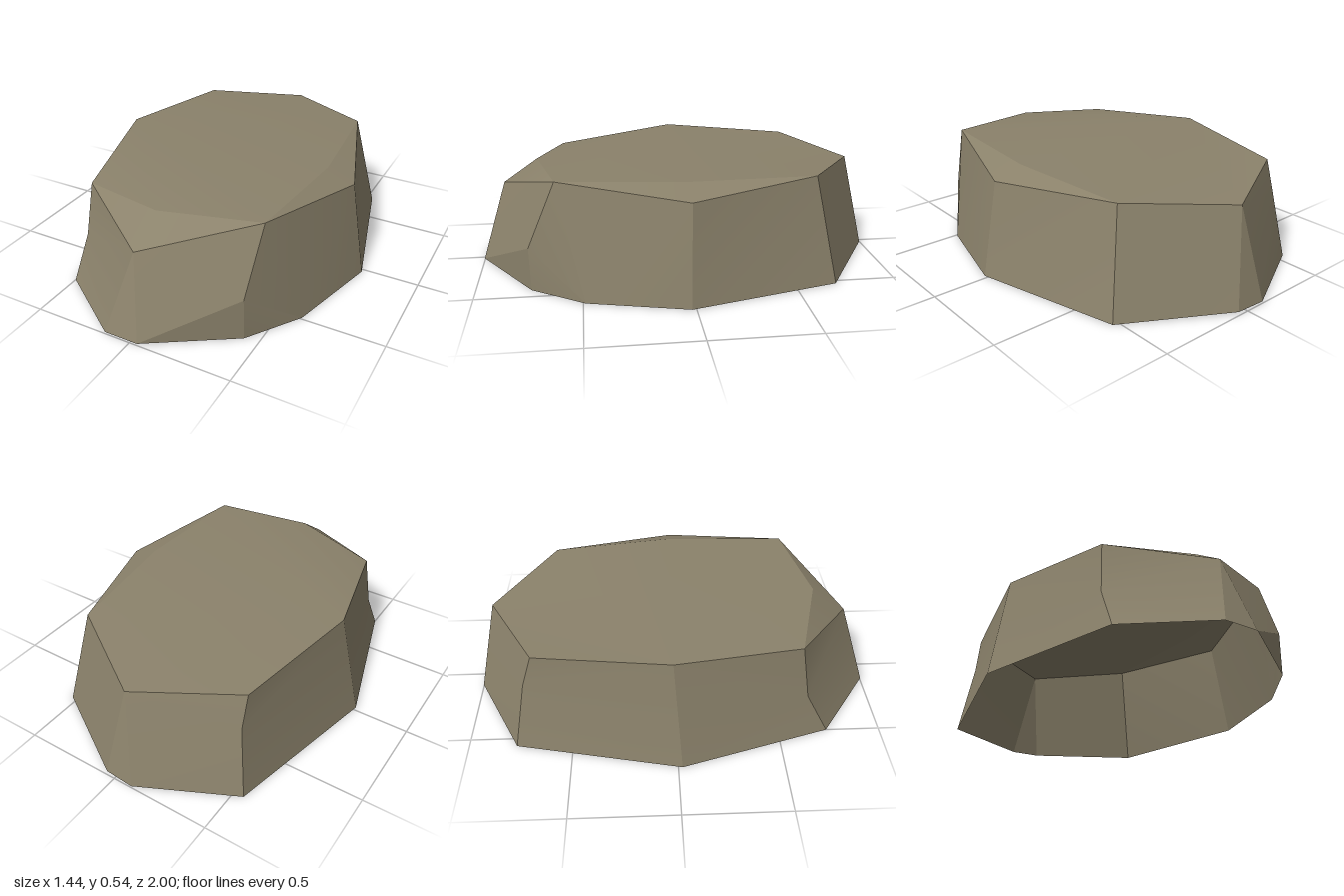
import * as THREE from 'three';
import { toCreasedNormals } from 'three/addons/utils/BufferGeometryUtils.js';

// base rim, clockwise from the back when seen from above
const base = [
  [-0.10, 0.01, -1.0], [0.05, 0.01, -0.99], [0.53, 0, -0.70], [0.72, 0, 0.02],
  [0.60, 0, 0.49], [0.43, 0, 0.74], [0.04, 0.01, 1.0], [-0.13, 0.01, 1.0],
  [-0.50, 0, 0.74], [-0.72, 0, 0.02], [-0.55, 0, -0.77],
];
// top rim, same order
const top = [
  [-0.03, 0.47, -0.90], [0.43, 0.51, -0.61], [0.64, 0.472, 0.01], [0.46, 0.535, 0.61],
  [-0.02, 0.515, 0.71], [-0.46, 0.48, 0.59], [-0.62, 0.535, -0.02], [-0.50, 0.50, -0.66],
];
// chipped corners: inner ridge, front chip, and bends halfway down the walls
const extra = {
  ridge: [0.50, 0.525, 0], chip: [-0.03, 0.395, 0.88],
  bendL: [0.43, 0.21, 0.745], bendR: [-0.485, 0.21, 0.63], bendBack: [-0.50, 0.34, -0.71],
};

export function createModel() {
  const group = new THREE.Group();
  group.name = 'rock';
  const stone = new THREE.MeshStandardMaterial({ color: 0x8b826b, side: THREE.DoubleSide });
  stone.name = 'stone';

  const [b0, b1, b2, b3, b4, b5, b6, b7, b8, b9, b10] = base;
  const [t0, t1, t2, t3, t4, t5, t6, t7] = top;
  const { ridge, chip, bendL, bendR, bendBack } = extra;
  const points = [];
  // each facet is a polygon split as a fan from its first corner
  const facet = (...p) => {
    for (let i = 1; i < p.length - 1; i++) points.push(...p[0], ...p[i], ...p[i + 1]);
  };

  // flat top with a sloping strip on the left
  facet(t6, t5, t4, t3, ridge, t1, t0, t7);
  facet(t2, t1, ridge);
  facet(t3, t2, ridge);
  // chipped front edge
  facet(t5, chip, t4);
  facet(chip, t3, t4);
  // back and left walls
  facet(t0, b1, b0);
  facet(t0, t1, b2, b1);
  facet(t1, t2, b3, b2);
  facet(t2, t3, b4, b3);
  facet(t3, bendL, b4);
  facet(bendL, b5, b4);
  // front walls
  facet(bendL, b6, b5);
  facet(t3, chip, b6, bendL);
  facet(chip, b7, b6);
  facet(chip, t5, bendR, b7);
  facet(bendR, b8, b7);
  // right walls
  facet(t5, t6, bendR);
  facet(bendR, t6, b9, b8);
  facet(t6, t7, bendBack, b9);
  facet(bendBack, b10, b9);
  // back right corner
  facet(t7, t0, bendBack);
  facet(bendBack, t0, b0, b10);

  const geometry = new THREE.BufferGeometry();
  geometry.setAttribute('position', new THREE.Float32BufferAttribute(points, 3));
  const shell = new THREE.Mesh(toCreasedNormals(geometry, 0.35), stone);
  shell.name = 'rockShell';
  group.add(shell);
  return group;
}
